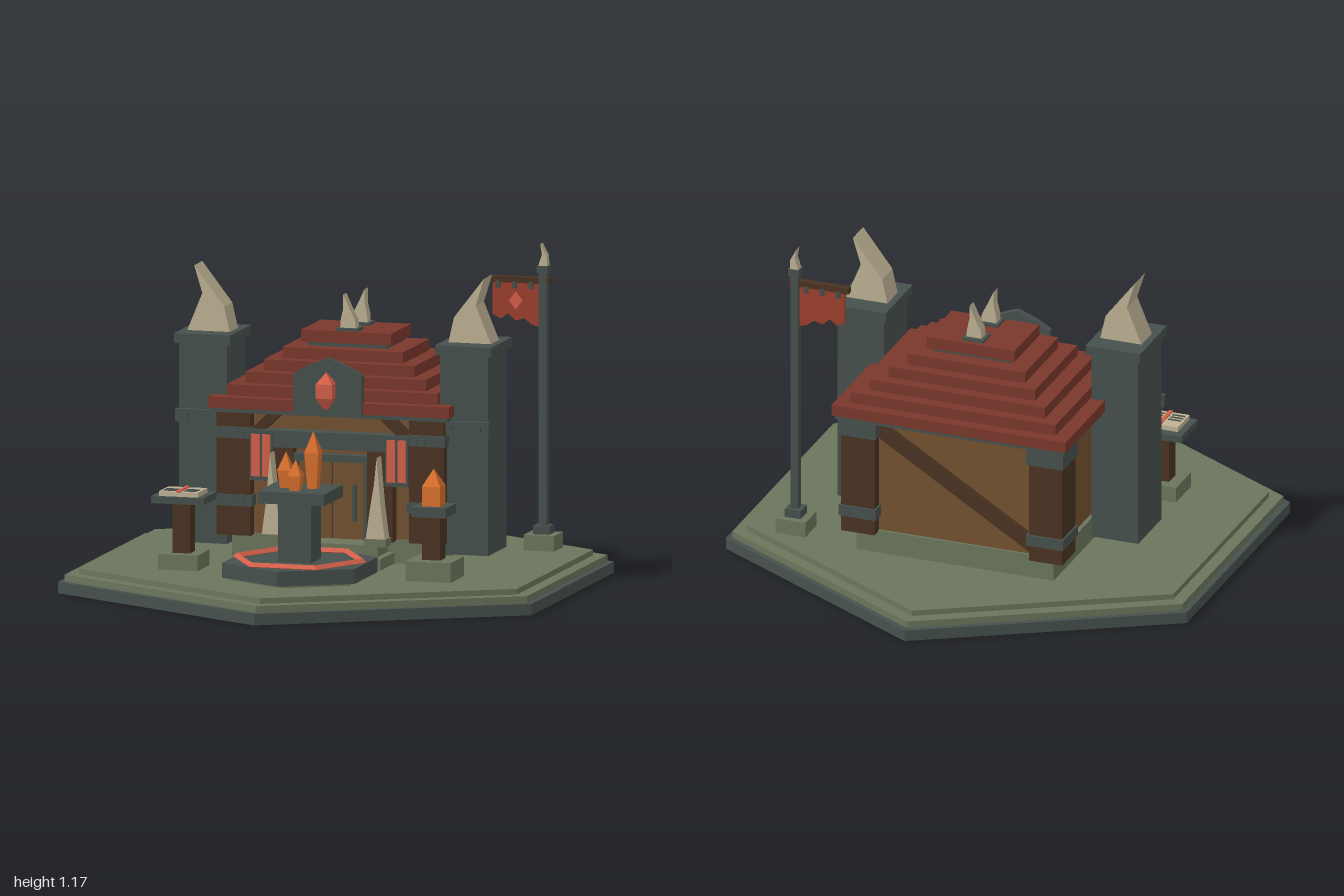
import * as THREE from 'three';

const mat = (name, color) => Object.assign(new THREE.MeshStandardMaterial({ color }), { name });

export function createModel() {
  const slate = mat('slate', 0x46504d), moss = mat('moss stone', 0x6b755c), tile = mat('roof tile', 0x7a382c);
  const timber = mat('dark timber', 0x4a3322), plaster = mat('tan wood', 0x735130), bone = mat('bone', 0xbdb193);
  const orange = mat('orange crystal', 0xd9712e), coral = mat('coral glow', 0xd4604a), cloth = mat('banner cloth', 0x9c3f2c);
  cloth.side = THREE.DoubleSide;
  const model = new THREE.Group();
  model.name = 'shrineHall';

  const add = (name, geo, m, parent = model) => {
    const g = geo.index ? geo.toNonIndexed() : geo;
    g.computeVertexNormals();
    const mesh = new THREE.Mesh(g, m);
    mesh.name = name;
    parent.add(mesh);
    return mesh;
  };
  // box from its min and max on each axis
  const box = (name, m, x0, x1, y0, y1, z0, z1, parent) => add(name,
    new THREE.BoxGeometry(x1 - x0, y1 - y0, z1 - z0).translate((x0 + x1) / 2, (y0 + y1) / 2, (z0 + z1) / 2), m, parent);
  // the same box on both sides
  const pair = (name, m, x0, x1, ...rest) => {
    box(name + 'Left', m, x0, x1, ...rest);
    box(name + 'Right', m, -x1, -x0, ...rest);
  };
  // plate with an outline in x and y, between z0 and z1
  const plate = (name, m, pts, z0, z1, parent) => add(name,
    new THREE.ExtrudeGeometry(new THREE.Shape(pts.map(p => new THREE.Vector2(...p))),
      { depth: z1 - z0, bevelEnabled: false }).translate(0, 0, z0), m, parent);
  const flip = pts => pts.map(([x, y]) => [-x, y]).reverse();
  const hex = (name, m, r, y0, y1, z = 0) => add(name,
    new THREE.CylinderGeometry(r, r, y1 - y0, 6).translate(0, (y0 + y1) / 2, z), m);
  // four-sided crystal: lower taper and pointed top
  const crystal = (name, m, x, y0, yMid, y1, z, w, wBase) => {
    const g = new THREE.Group();
    g.name = name;
    const s = Math.SQRT2, part = (n, rt, rb, a, b) => add(n,
      new THREE.CylinderGeometry(rt * s, rb * s, b - a, 4).rotateY(Math.PI / 4).translate(x, (a + b) / 2, z), m, g);
    part('crystalBody', w, wBase, y0, yMid);
    part('crystalPoint', 0, w, yMid, y1);
    model.add(g);
  };
  // beam between two points in the x, y plane
  const beam = (name, m, x0, y0, x1, y1, w, z0, z1) => {
    const b = add(name, new THREE.BoxGeometry(Math.hypot(x1 - x0, y1 - y0), w, z1 - z0), m);
    b.position.set((x0 + x1) / 2, (y0 + y1) / 2, (z0 + z1) / 2);
    b.rotation.z = Math.atan2(y1 - y0, x1 - x0);
  };

  // stepped hexagonal ground
  hex('groundRim', slate, 1, 0, 0.04);
  hex('groundMiddle', moss, 0.976, 0.04, 0.065);
  hex('groundTop', moss, 0.925, 0.065, 0.085);

  // foundation, walls and steps
  box('foundation', moss, -0.37, 0.37, 0.085, 0.17, -0.51, 0.035);
  box('walls', plaster, -0.355, 0.355, 0.17, 0.62, -0.5, 0.03);
  box('lowerStep', moss, -0.225, 0.225, 0.085, 0.125, 0.035, 0.21);
  box('upperStep', moss, -0.2, 0.2, 0.125, 0.165, 0.035, 0.16);

  // corner posts with metal bands
  for (const [z, bands] of [[0.01, [[0.51, 0.55], [0.27, 0.31]]], [-0.48, [[0.535, 0.6], [0.225, 0.265]]]]) {
    pair('cornerPost', timber, 0.29, 0.415, 0.165, 0.615, z - 0.065, z + 0.065);
    for (const [a, b] of bands) {
      pair('postBand', slate, 0.283, 0.422, a, b, z - 0.073, z + 0.073);
      if (z > 0) for (const x of [0.315, 0.345]) pair('bandBolt', slate, x - 0.007, x + 0.007, a + 0.013, b - 0.013, 0.08, 0.092);
    }
  }
  beam('backBrace', timber, 0.31, 0.58, -0.31, 0.2, 0.055, -0.52, -0.49);
  for (const s of [-1, 1]) beam('eaveBrace', timber, s * 0.29, 0.52, s * 0.19, 0.615, 0.035, 0.03, 0.07);

  // front: door, frame, windows
  pair('doorPost', timber, 0.135, 0.23, 0.165, 0.49, 0.03, 0.075);
  box('frontHeader', slate, -0.285, 0.285, 0.485, 0.545, 0.03, 0.085);
  box('doorLintel', slate, -0.135, 0.135, 0.44, 0.465, 0.03, 0.07);
  pair('door', plaster, 0.003, 0.12, 0.165, 0.44, 0.03, 0.045);
  box('doorGap', timber, -0.003, 0.003, 0.165, 0.44, 0.03, 0.04);
  pair('doorJamb', slate, 0.12, 0.135, 0.165, 0.465, 0.03, 0.065);
  pair('doorHandle', slate, 0.076, 0.09, 0.23, 0.36, 0.045, 0.06);
  pair('windowFrame', slate, 0.205, 0.29, 0.365, 0.545, 0.03, 0.088);
  for (const x of [0.213, 0.252]) pair('windowPane', coral, x, x + 0.03, 0.38, 0.53, 0.087, 0.093);

  // tusks beside the door
  const tusk = [[0.155, 0.185], [0.225, 0.185], [0.21, 0.3], [0.203, 0.38], [0.195, 0.475], [0.185, 0.38], [0.17, 0.29]];
  tusk.reverse();
  tusk.reverse();
  plate('doorTuskLeft', bone, tusk, 0.1, 0.155);
  plate('doorTuskRight', bone, flip(tusk), 0.1, 0.155);
  pair('tuskFoot', moss, 0.15, 0.23, 0.16, 0.187, 0.095, 0.16);

  // stepped roof
  box('eave', slate, -0.43, 0.43, 0.6, 0.618, -0.565, 0.08);
  for (let i = 0; i < 5; i++) {
    const w = 0.44 - i * 0.055, d = 0.333 - i * 0.043, y = 0.615 + i * 0.04;
    box('roofTier' + (i + 1), tile, -w, w, y, y + 0.04, -0.242 - d, -0.242 + d);
  }
  box('ridgeBand', slate, -0.145, 0.145, 0.815, 0.83, -0.345, -0.139);
  box('ridgeCap', tile, -0.165, 0.165, 0.83, 0.872, -0.362, -0.122);

  // roof horns, bending opposite ways
  const roofHorn = [[-0.03, 0.87], [0.03, 0.87], [0.025, 0.91], [0.005, 0.95], [-0.018, 1], [-0.018, 0.95], [-0.027, 0.91]];
  for (const [z, pts] of [[-0.167, roofHorn], [-0.307, flip(roofHorn)]]) {
    box('roofHornBase', slate, -0.04, 0.04, 0.86, 0.882, z - 0.035, z + 0.035);
    plate('roofHorn', bone, pts, z - 0.02, z + 0.02);
  }

  // gable shield with crystal
  plate('gableShield', slate, [[-0.125, 0.61], [0.125, 0.61], [0.125, 0.755], [0.07, 0.785], [0, 0.812], [-0.07, 0.785], [-0.125, 0.755]], 0.078, 0.103);
  box('shieldMount', slate, -0.015, 0.015, 0.68, 0.71, -0.01, 0.08);
  crystal('gableCrystal', coral, 0, 0.675, 0.725, 0.765, 0.12, 0.03, 0.03);
  add('gableCrystalTip', new THREE.CylinderGeometry(0.03 * Math.SQRT2, 0.012, 0.04, 4).rotateY(Math.PI / 4).translate(0, 0.655, 0.12), coral);

  // side towers with straps and large horns
  pair('tower', slate, 0.39, 0.565, 0.125, 0.832, -0.195, 0.03);
  pair('towerCap', slate, 0.375, 0.58, 0.832, 0.866, -0.215, 0.043);
  pair('towerStrap', slate, 0.4, 0.573, 0.555, 0.6, 0.03, 0.05);
  for (const x of [0.43, 0.535]) pair('strapBolt', slate, x - 0.01, x + 0.01, 0.568, 0.588, 0.05, 0.062);
  const horn = [[0.4, 0.866], [0.555, 0.866], [0.5, 1], [0.53, 1.097], [0.42, 0.955]];
  plate('towerHornLeft', bone, horn, -0.137, -0.037);
  plate('towerHornRight', bone, flip(horn), -0.137, -0.037);

  // crystal altar
  hex('altarFloor', slate, 0.28, 0.095, 0.148, 0.44);
  hex('altarFooting', moss, 0.25, 0.085, 0.095, 0.44);
  add('altarRing', new THREE.TorusGeometry(0.23, 0.014, 4, 6).rotateX(Math.PI / 2).translate(0, 0.15, 0.44), coral);
  box('altarStem', slate, -0.06, 0.06, 0.148, 0.36, 0.385, 0.505);
  box('altarTable', slate, -0.122, 0.122, 0.36, 0.402, 0.322, 0.552);
  crystal('altarCrystalRight', orange, -0.052, 0.402, 0.465, 0.53, 0.435, 0.025, 0.017);
  crystal('altarCrystalLeft', orange, 0.045, 0.402, 0.53, 0.605, 0.425, 0.026, 0.017);
  crystal('altarCrystalFront', orange, 0, 0.402, 0.455, 0.51, 0.49, 0.024, 0.017);

  // book stand
  box('bookStandBase', moss, -0.53, -0.385, 0.085, 0.14, 0.26, 0.405);
  box('bookStandStem', timber, -0.488, -0.425, 0.14, 0.32, 0.3, 0.365);
  box('bookStandTop', slate, -0.553, -0.362, 0.32, 0.345, 0.252, 0.41);
  box('bookPages', bone, -0.527, -0.385, 0.345, 0.362, 0.285, 0.4);
  box('bookMarker', coral, -0.463, -0.449, 0.36, 0.367, 0.285, 0.404);
  for (let i = 0; i < 3; i++) for (const x of [-0.518, -0.442])
    box('bookLine', slate, x, x + 0.047, 0.361, 0.364, 0.335 + i * 0.02, 0.343 + i * 0.02);

  // crystal stand
  box('crystalStandBase', moss, 0.375, 0.54, 0.085, 0.155, 0.237, 0.405);
  box('crystalStandStem', timber, 0.422, 0.488, 0.155, 0.31, 0.29, 0.358);
  box('crystalStandTop', slate, 0.392, 0.517, 0.31, 0.345, 0.26, 0.387);
  crystal('standCrystal', orange, 0.455, 0.345, 0.415, 0.475, 0.325, 0.033, 0.033);

  // banner pole
  box('poleBase', moss, 0.573, 0.685, 0.085, 0.14, -0.485, -0.375);
  box('poleFoot', slate, 0.6, 0.66, 0.14, 0.17, -0.46, -0.4);
  box('pole', slate, 0.616, 0.645, 0.17, 1.065, -0.445, -0.416);
  box('poleCollar', slate, 0.61, 0.651, 1.065, 1.09, -0.45, -0.41);
  plate('poleHorn', bone, [[0.615, 1.09], [0.647, 1.09], [0.645, 1.125], [0.622, 1.168], [0.628, 1.13]], -0.445, -0.415);
  box('crossbar', timber, 0.428, 0.655, 1.025, 1.047, -0.442, -0.418);
  for (const x of [0.46, 0.52, 0.58]) box('bannerTie', slate, x, x + 0.014, 1.005, 1.03, -0.447, -0.413);
  plate('banner', cloth, [[0.445, 0.91], [0.475, 0.895], [0.5, 0.915], [0.53, 0.89], [0.56, 0.9], [0.585, 0.88], [0.615, 0.87], [0.615, 1.027], [0.445, 1.027]], -0.434, -0.426);
  plate('bannerDiamond', coral, [[0.53, 0.93], [0.555, 0.962], [0.53, 0.993], [0.505, 0.962]], -0.426, -0.421);

  return model;
}
